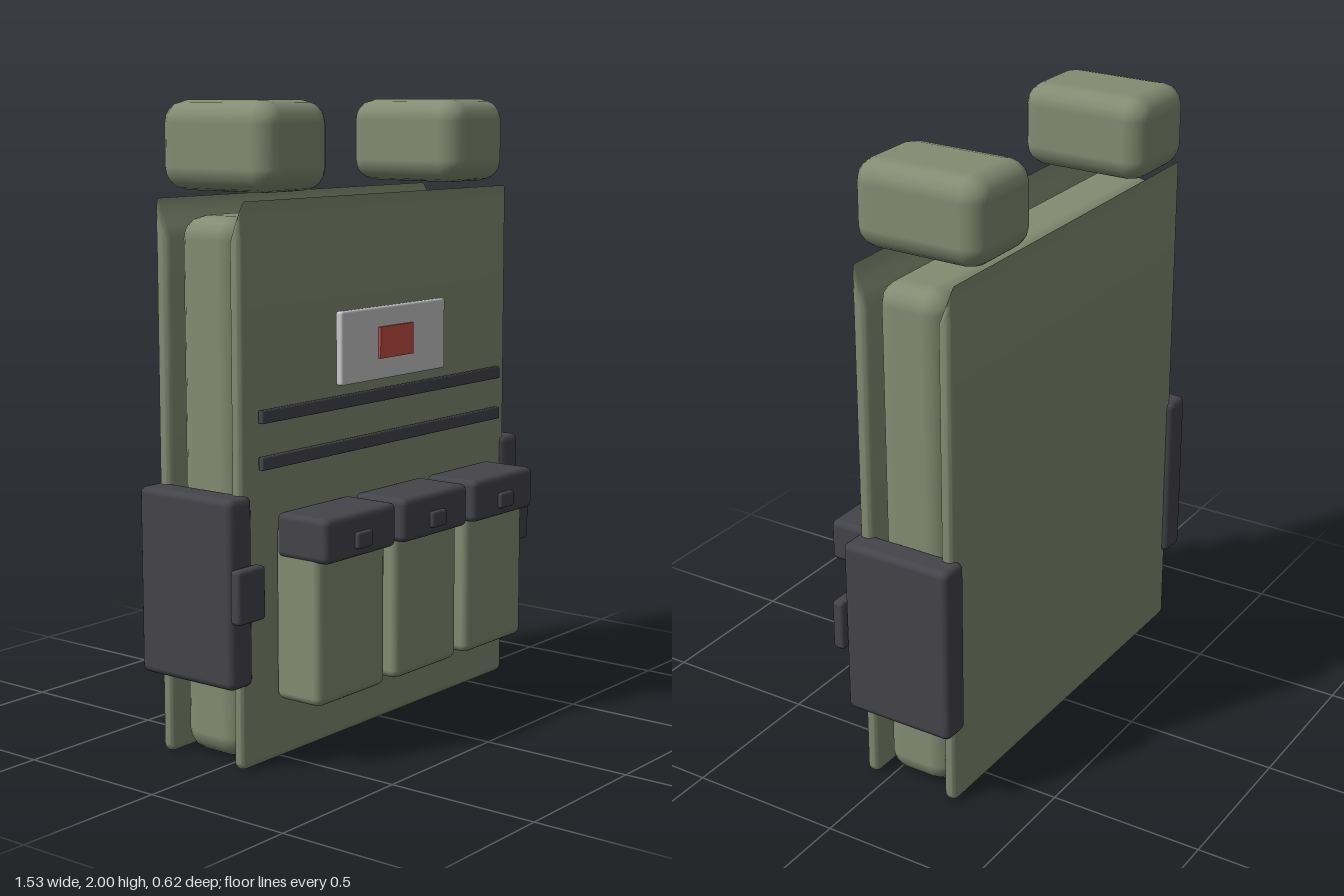
import * as THREE from 'three';
import { RoundedBoxGeometry } from 'three/addons/geometries/RoundedBoxGeometry.js';
import { toCreasedNormals } from 'three/addons/utils/BufferGeometryUtils.js';

const flat = (name, color) => {
  const m = new THREE.MeshStandardMaterial({ color });
  m.name = name;
  return m;
};

export function createModel() {
  const olive = flat('olive cloth', 0x848c72);
  const dark = flat('dark webbing', 0x45444a);
  const pale = flat('pale label', 0xcacaca);
  const red = flat('red mark', 0xc64c44);

  const vest = new THREE.Group();
  vest.name = 'vest';

  // Rounded block given by its [min, max] extents on each axis
  function block(name, material, x, y, z, r, parent = vest) {
    const geo = new RoundedBoxGeometry(x[1] - x[0], y[1] - y[0], z[1] - z[0], 2, r);
    const mesh = new THREE.Mesh(geo, material);
    mesh.name = name;
    mesh.position.set((x[0] + x[1]) / 2, (y[0] + y[1]) / 2, (z[0] + z[1]) / 2);
    parent.add(mesh);
    return mesh;
  }

  // Thin panel whose top edge is drawn up into a wedge along its outer face
  function panel(name, zMid, outward) {
    const r = 0.024, shoulder = 1.59, rise = 0.12;
    const h = shoulder + r;
    const geo = new RoundedBoxGeometry(1.38, h, 2 * r, 3, r);
    const p = geo.attributes.position;
    for (let i = 0; i < p.count; i++) {
      const t = (p.getY(i) - (h / 2 - r)) / r;
      if (t <= 0) continue;
      p.setY(i, h / 2 - r + rise * t);
      p.setZ(i, THREE.MathUtils.lerp(p.getZ(i), outward * r, t));
    }
    const mesh = new THREE.Mesh(toCreasedNormals(geo, 0.6), olive);
    mesh.name = name;
    mesh.position.set(0, h / 2, zMid);
    vest.add(mesh);
  }

  // Body
  block('paddedCore', olive, [-0.655, 0.655], [0.005, 1.66], [-0.205, 0.035], 0.07);
  panel('frontPanel', 0.061, 1);
  panel('backPanel', -0.231, -1);

  // Shoulder pads, side pouches and their buckles
  for (const [side, s] of [['left', 1], ['right', -1]]) {
    const span = (a, b) => (s > 0 ? [a, b] : [-b, -a]);
    block(side + 'ShoulderPad', olive, span(0.31, 0.62), [1.73, 2], [-0.31, 0.135], 0.07);
    block(side + 'SidePouch', dark, span(0.655, 0.755), [0.265, 0.845], [-0.275, 0.1], 0.022);
    block(side + 'SideBuckle', dark, span(0.645, 0.765), [0.475, 0.64], [0.1, 0.14], 0.012);
  }

  // Front pouches with flap and clip
  [-0.38, 0, 0.38].forEach((cx, i) => {
    const pouch = new THREE.Group();
    pouch.name = 'frontPouch' + (i + 1);
    vest.add(pouch);
    const span = (w) => [cx - w, cx + w];
    block('pouchBody', olive, span(0.165), [0.195, 0.74], [0.085, 0.26], 0.025, pouch);
    block('pouchFlap', dark, span(0.171), [0.64, 0.778], [0.097, 0.296], 0.02, pouch);
    block('pouchClip', dark, span(0.038), [0.668, 0.72], [0.285, 0.31], 0.008, pouch);
  });

  // Chest straps
  for (const y of [0.935, 1.075]) {
    block('chestStrap', dark, [-0.62, 0.62], [y - 0.02, y + 0.02], [0.09, 0.11], 0.004);
  }

  // Chest label with a red mark
  block('chestLabel', pale, [-0.27, 0.27], [1.13, 1.36], [0.102, 0.129], 0.008);
  const mark = new THREE.Mesh(new THREE.BoxGeometry(0.172, 0.1, 0.009), red);
  mark.name = 'labelMark';
  mark.position.set(0, 1.247, 0.1325);
  vest.add(mark);

  return vest;
}
